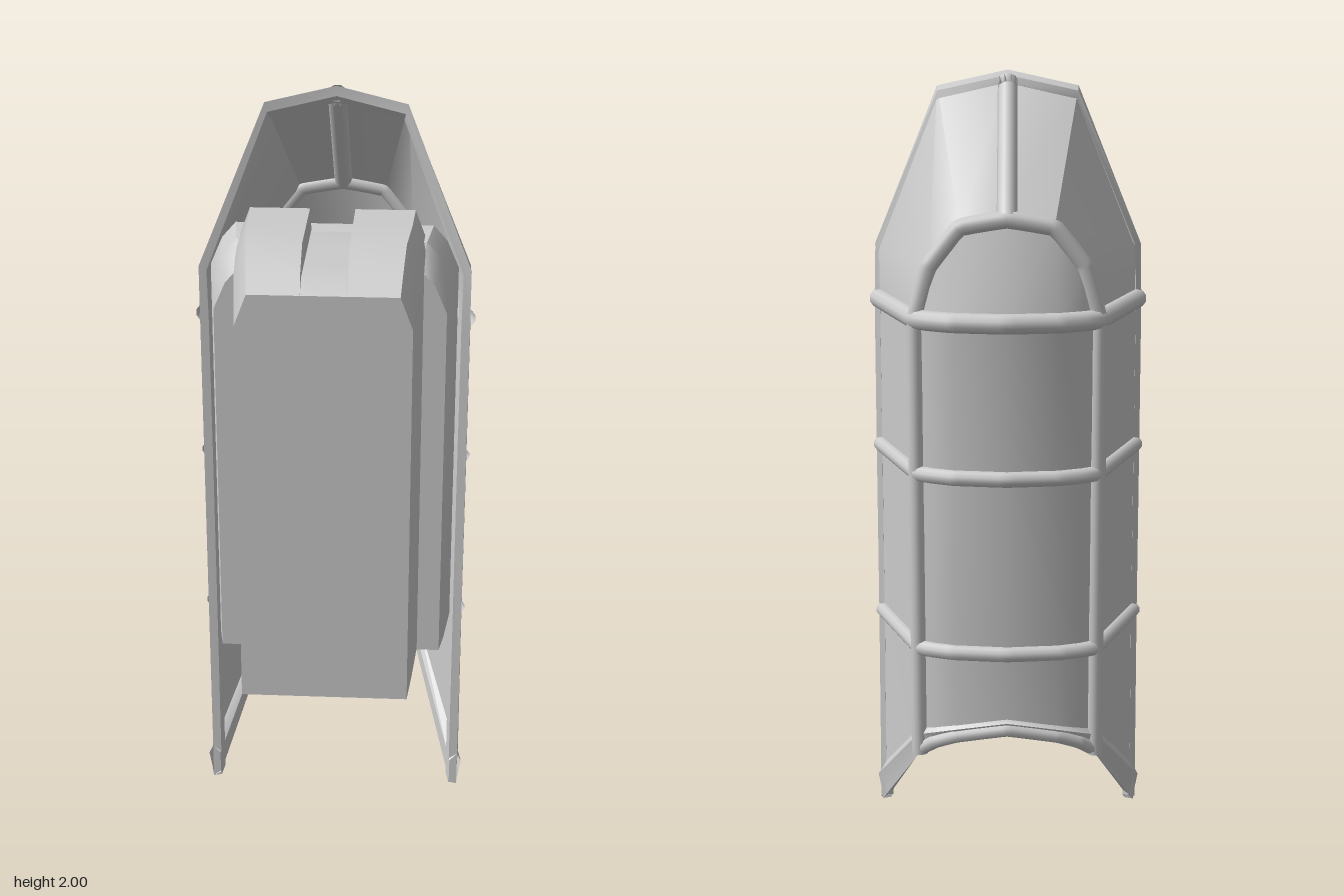
import * as THREE from 'three';
import { toCreasedNormals } from 'three/addons/utils/BufferGeometryUtils.js';

const V = (x, y, z) => new THREE.Vector3(x, y, z);
// Full polyline from its +x half, which ends on the centre line.
const mirror = (half) => [...half, ...half.slice(0, -1).reverse().map((p) => V(-p.x, p.y, p.z))];

// Surface through rows of equal point counts.
function loft(rows, crease = 0.7) {
  const n = rows[0].length, pos = [], index = [];
  rows.forEach((row) => row.forEach((p) => pos.push(p.x, p.y, p.z)));
  for (let r = 0; r < rows.length - 1; r++) {
    for (let i = 0; i < n - 1; i++) {
      const a = r * n + i, b = a + n;
      index.push(a, b, a + 1, b, b + 1, a + 1);
    }
  }
  const g = new THREE.BufferGeometry();
  g.setAttribute('position', new THREE.Float32BufferAttribute(pos, 3));
  g.setIndex(index);
  return toCreasedNormals(g, crease);
}

export function createModel() {
  const model = new THREE.Group();
  const mat = new THREE.MeshStandardMaterial({ color: 0xcccccc, side: THREE.DoubleSide });
  const shell = new THREE.Group();
  shell.name = 'shell';
  const pack = new THREE.Group();
  pack.name = 'pack';
  model.add(shell, pack);
  const add = (group, name, geometry) => {
    const mesh = new THREE.Mesh(geometry, mat);
    mesh.name = name;
    group.add(mesh);
  };

  // Shell stations: front rim, side corner and curved back at any height
  const rimAt = (y) => V(0.348, y, 0.02);
  const cornerAt = (y) => V(0.225, y, -0.325 - 0.045 * (y - 0.28) / 1.14);
  const depth = (y) => -0.387 - 0.068 * (y - 0.34) / 1.08;
  const backHalf = (y, sag = 0) => {
    const c = cornerAt(y - sag), d = depth(y);
    return [c, V(0.185, y - sag * 0.6, c.z + (d - c.z) * 0.42),
      V(0.13, y - sag * 0.3, c.z + (d - c.z) * 0.75), V(0, y, d)];
  };
  const levels = [0.56, 1.02, 1.41];
  const bottomBack = backHalf(0.345, 0.075);
  const backRows = [bottomBack, ...levels.map((y) => backHalf(y))];

  // Side and back panels
  const rimLow = [rimAt(0), ...levels.map(rimAt)];
  const cornerLow = backRows.map((r) => r[0]);
  for (const s of [1, -1]) {
    const flip = (p) => V(p.x * s, p.y, p.z);
    add(shell, s > 0 ? 'leftPanel' : 'rightPanel', loft([rimLow.map(flip), cornerLow.map(flip)]));
  }
  add(shell, 'backPanel', loft(backRows.map(mirror)));

  // Hood above the top rib, and the rounded panel under its arch
  const rimTop = [rimAt(1.41), rimAt(1.55), V(0.18, 1.96, -0.05), V(0, 2, -0.065)];
  const arch = [cornerAt(1.41), V(0.19, 1.54, -0.38), V(0.115, 1.635, -0.387), V(0, 1.655, -0.39)];
  add(shell, 'hood', loft([mirror(rimTop), mirror(arch)]));
  add(shell, 'archPanel', loft([mirror(arch), mirror(backRows[3])]));

  // Raised flat bands along the open edges
  const outward = (p) => p.clone().sub(V(0, Math.min(p.y, 1.3), 0.1)).normalize().multiplyScalar(0.012);
  function band(name, edge, inner) {
    const row = (t, k) => edge.map((p, i) => p.clone().lerp(inner[i], t).addScaledVector(outward(p), k));
    add(shell, name, loft([row(0, 0), row(0.3, 0.3), row(0.75, 1), row(1, 0),
      row(0.8, -1.8), row(0.15, -1.8), row(0, 0)], 0.5));
  }
  const towards = (a, b, d) => a.clone().add(b.clone().sub(a).setLength(d));
  const rimHalf = [...rimLow, ...rimTop.slice(1)];
  const partner = [...cornerLow, ...arch.slice(1)];
  band('frontRim', mirror(rimHalf), mirror(rimHalf.map((p, i) => towards(p, partner[i], 0.045))));
  const bottomHalf = [rimAt(0), ...bottomBack];
  const lift = [0.1, 0.07, 0.05, 0.04, 0.04];
  band('bottomRim', mirror(bottomHalf), mirror(bottomHalf.map((p, i) => V(p.x, p.y + lift[i], p.z))));

  // Round ribs
  const rib = (name, pts, r = 0.02) => add(shell, name, new THREE.TubeGeometry(
    new THREE.CatmullRomCurve3(pts, false, 'catmullrom', 0.1), pts.length * 8, r, 10));
  levels.forEach((y, i) => rib('crossRib', mirror([towards(rimAt(y), cornerAt(y), 0.03), ...backHalf(y)]),
    i === 2 ? 0.025 : 0.02));
  rib('bottomRib', mirror(bottomBack.map((p) => V(p.x, p.y + 0.01, p.z))), 0.018);
  rib('archRib', mirror(arch), 0.022);
  rib('ridgeRib', [V(0, 1.975, -0.09), arch[3]], 0.025);
  for (const s of [1, -1]) rib('cornerRib', cornerLow.map((p) => V(p.x * s, p.y, p.z)), 0.021);

  // Pack blocks: outlines lofted along z, closed at both ends and underneath
  function block(name, sections) {
    const rows = sections.map((half) => {
      const loop = mirror(half);
      return [...loop, loop[0]];
    });
    const cap = (row) => row.map((p) => V(0, 1, p.z));
    add(pack, name, loft([cap(rows[0]), ...rows, cap(rows[rows.length - 1])], 0.75));
  }
  // z, half width, top
  block('packBody', [[-0.05, 0.27, 1.6], [0.02, 0.315, 1.67], [0.15, 0.3, 1.67], [0.22, 0.288, 1.62]]
    .map(([z, w, top]) => [V(w, 0.557, z), V(w, top - 0.11, z), V(w - 0.03, top - 0.04, z),
      V(w - 0.065, top, z), V(0, top, z)]));
  block('packFront', [[0.05, 0.225, 1.66], [0.1, 0.235, 1.735], [0.22, 0.23, 1.735], [0.36, 0.22, 1.735],
    [0.43, 0.214, 1.685], [0.475, 0.21, 1.645]]
    .map(([z, w, top]) => {
      const groove = Math.min(top, 1.675);
      return [V(w, 0.56, z), V(w, top - 0.08, z), V(w - 0.03, top, z), V(0.056, top, z),
        V(0.054, groove, z), V(0, groove, z)];
    }));
  return model;
}
